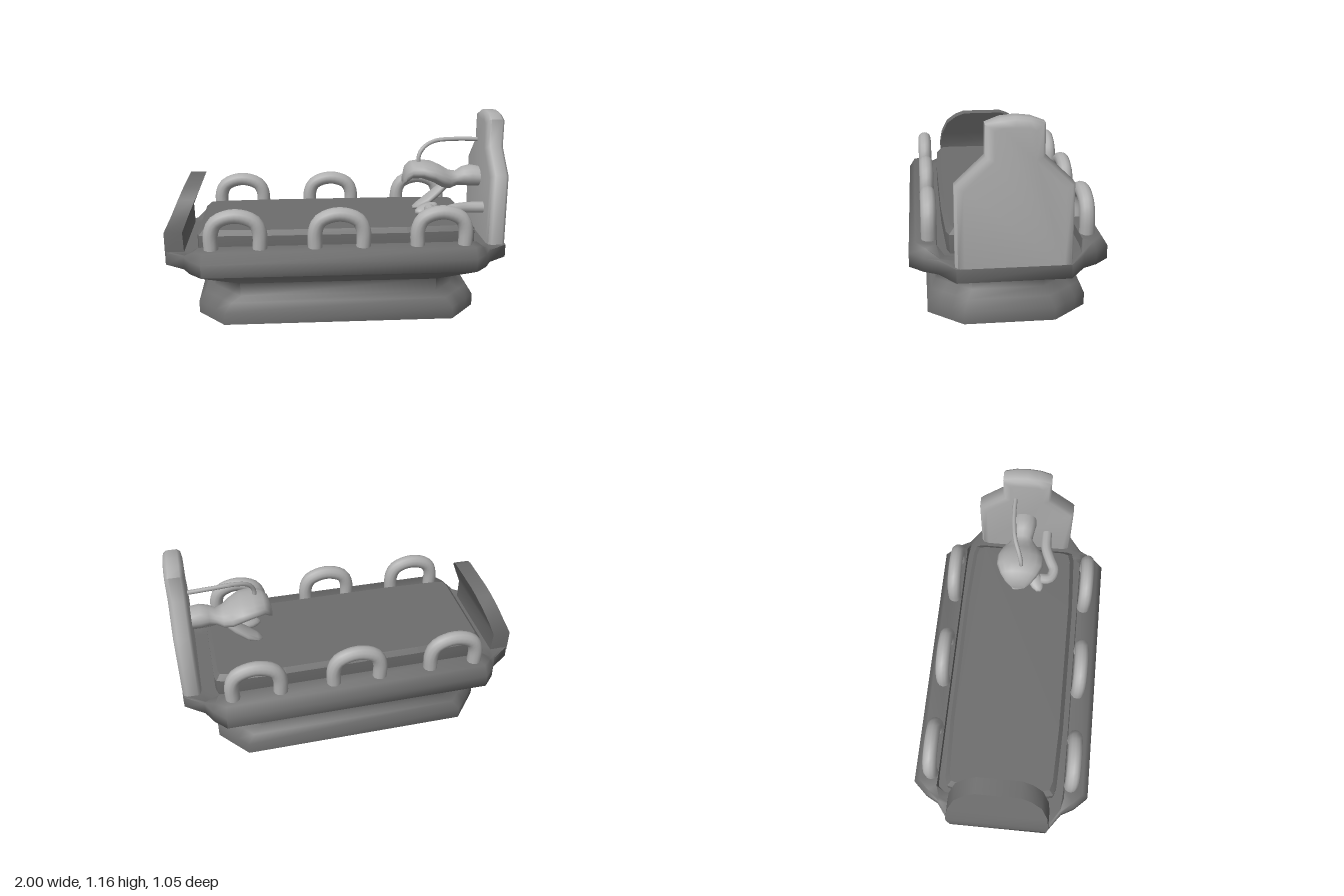
import * as THREE from 'three';
import { toCreasedNormals } from 'three/addons/utils/BufferGeometryUtils.js';

const light = new THREE.MeshStandardMaterial({ color: 0xafafaf, side: THREE.DoubleSide });
const dark = new THREE.MeshStandardMaterial({ color: 0x6d6d6d, side: THREE.DoubleSide });

function add(group, name, material, geometry, crease = 1) {
  const mesh = new THREE.Mesh(toCreasedNormals(geometry, crease), material);
  mesh.name = name;
  group.add(mesh);
  return mesh;
}

// Skin a stack of equal-length closed rings of [x, y, z]
function loft(rings, capStart, capEnd) {
  const n = rings[0].length, index = [];
  for (let i = 0; i < rings.length - 1; i++) {
    for (let j = 0; j < n; j++) {
      const a = i * n + j, b = i * n + (j + 1) % n;
      index.push(a, b, b + n, a, b + n, a + n);
    }
  }
  const last = (rings.length - 1) * n;
  for (let j = 1; j < n - 1; j++) {
    if (capStart) index.push(0, j + 1, j);
    if (capEnd) index.push(last, last + j, last + j + 1);
  }
  const g = new THREE.BufferGeometry();
  g.setAttribute('position', new THREE.Float32BufferAttribute(rings.flat(2), 3));
  g.setIndex(index);
  g.computeVertexNormals();
  return g;
}

// Mirror one corner, listed from the end to the long side as [x, z, y], into a ring
function mirrorRing(corner, y) {
  const back = [...corner].reverse();
  const put = (list, sx, sz) => list.map(p => [sx * p[0], p[2] ?? y, sz * p[1]]);
  return [...put(corner, 1, -1), ...put(back, -1, -1), ...put(corner, -1, 1), ...put(back, 1, 1)];
}

// Octagonal ring of half sizes hx, hz with straight clipped corners
function clippedRing(hx, hz, y) {
  return mirrorRing([0, 0.33, 0.67, 1].map(t => [hx - t * 0.16, hz - (1 - t) * 0.19]), y);
}

function tube(points, radius, segments = 24, sides = 10) {
  const curve = new THREE.CatmullRomCurve3(points.map(p => new THREE.Vector3(...p)));
  return new THREE.TubeGeometry(curve, segments, radius, sides);
}

// Body with oval sections [x, y, half height, half width], running towards -x
function ovalBody(sections, z) {
  return loft(sections.map(([x, y, h, w]) => Array.from({ length: 16 }, (_, i) => {
    const t = i / 16 * Math.PI * 2;
    return [x, y + h * Math.sin(t), z + w * Math.cos(t)];
  })), true, true);
}

export function createModel() {
  const model = new THREE.Group();
  model.name = 'medicalBed';

  // Hollow plinth, waist and flared tray as one smooth shell
  const outer = [[1, 0.29], [0.885, 0.375], [0.845, 0.45], [0.775, 0.525]];
  add(model, 'baseAndTray', dark, loft([
    clippedRing(0.825, 0.435, 0),
    clippedRing(0.825, 0.435, 0.07),
    clippedRing(0.785, 0.412, 0.125),
    clippedRing(0.73, 0.385, 0.155),
    clippedRing(0.73, 0.385, 0.233),
    mirrorRing(outer, 0.325),
    mirrorRing(outer, 0.4),
    mirrorRing([[0.985, 0.285, 0.402], [0.88, 0.365, 0.405], [0.825, 0.435, 0.445], [0.77, 0.49, 0.457]]),
    mirrorRing([[0.9, 0.27, 0.4], [0.86, 0.365, 0.403], [0.8, 0.382, 0.455], [0.74, 0.38, 0.457]]),
    mirrorRing([[0.84, 0.26], [0.82, 0.34], [0.79, 0.375], [0.73, 0.378]], 0.4),
    mirrorRing([[0.78, 0.25], [0.77, 0.29], [0.74, 0.31], [0.4, 0.32]], 0.4),
  ]), 1.3);

  // Mattress with a soft top edge, sunk into the tray
  const mattress = (d, y) => mirrorRing(
    [[0.81 - d, 0.28 - d], [0.8 - d, 0.315 - d], [0.75 - d, 0.33 - d], [0.4, 0.343 - d]], y);
  add(model, 'mattress', dark, loft([mattress(0.01, 0.36), mattress(0, 0.43), mattress(0, 0.505),
    mattress(0.025, 0.533)], true, true), 0.6);

  // Leaning footboard: [y, outer x, inner x, half width]
  const foot = [[0.38, -1, -0.89, 0.295], [0.52, -1, -0.895, 0.3], [0.61, -0.955, -0.858, 0.288],
    [0.7, -0.915, -0.818, 0.25], [0.75, -0.892, -0.796, 0.19], [0.775, -0.88, -0.785, 0.13]];
  add(model, 'footboard', dark, loft(foot.map(([y, a, b, w]) =>
    [[b, y, w], [b, y, -w], [a, y, -w], [a, y, w]]), true, true));

  // Stepped headboard with soft bevelled edges
  const half = [[0.295, 0.355], [0.295, 0.822], [0.145, 0.965], [0.145, 1.125], [0.075, 1.152]];
  const outline = [...half, [0, 1.16], ...half.map(([z, y]) => [-z, y]).reverse()];
  const headGeometry = new THREE.ExtrudeGeometry(
    new THREE.Shape(outline.map(p => new THREE.Vector2(...p))),
    { depth: 0.062, bevelThickness: 0.024, bevelSize: 0.045, bevelOffset: -0.045, bevelSegments: 2 });
  headGeometry.rotateY(Math.PI / 2);
  headGeometry.translate(0.914, 0, 0);
  add(model, 'headboard', light, headGeometry);

  // Three arched side rails on each long side
  const arch = [[-0.137, 0.45], [-0.137, 0.55], [-0.112, 0.608], [-0.062, 0.637], [0, 0.648]];
  const railPath = [...arch, ...arch.slice(0, 4).map(([x, y]) => [-x, y]).reverse()];
  for (const z of [-0.423, 0.417]) {
    for (const x of [-0.585, 0, 0.585]) {
      const rail = add(model, 'sideRail', light, tube(railPath.map(([px, py]) => [px, py, 0]), 0.042, 20, 12));
      rail.position.set(x, 0, z);
    }
  }

  // Treatment arm: stem swelling into a domed head with a drooping tip
  const arm = new THREE.Group();
  arm.name = 'treatmentArm';
  model.add(arm);
  add(arm, 'armHead', light, ovalBody([
    [0.9, 0.75, 0.06, 0.075], [0.84, 0.755, 0.066, 0.078], [0.79, 0.752, 0.058, 0.068],
    [0.75, 0.738, 0.045, 0.062], [0.71, 0.732, 0.055, 0.09], [0.66, 0.752, 0.064, 0.125],
    [0.6, 0.783, 0.06, 0.142], [0.53, 0.8, 0.051, 0.14], [0.47, 0.795, 0.05, 0.112],
    [0.437, 0.765, 0.055, 0.08], [0.422, 0.73, 0.03, 0.045]], -0.01), 1.2);

  // Overhead cable
  add(arm, 'cable', light, tube([[0.9, 0.968, -0.07], [0.75, 0.972, -0.065], [0.62, 0.965, -0.045],
    [0.545, 0.93, -0.015], [0.515, 0.88, 0], [0.515, 0.83, 0]], 0.013, 24, 8));

  // Lower gripping arm with a bent wrist, a finger and an opposing paddle
  add(arm, 'lowerArm', light, tube([[0.9, 0.59, 0.14], [0.78, 0.592, 0.145], [0.7, 0.59, 0.175],
    [0.63, 0.58, 0.205], [0.575, 0.575, 0.18], [0.565, 0.58, 0.12]], 0.034, 26, 10));
  const finger = add(arm, 'finger', light, new THREE.SphereGeometry(1, 12, 8));
  finger.scale.set(0.085, 0.028, 0.045);
  finger.position.set(0.555, 0.575, 0.09);
  finger.rotation.set(0, 0.5, 0.2);
  add(arm, 'paddle', light, ovalBody([[0.71, 0.71, 0.03, 0.03], [0.65, 0.655, 0.038, 0.05],
    [0.58, 0.597, 0.034, 0.06], [0.52, 0.562, 0.02, 0.045], [0.49, 0.55, 0.008, 0.02]], -0.03), 1.2);

  return model;
}
